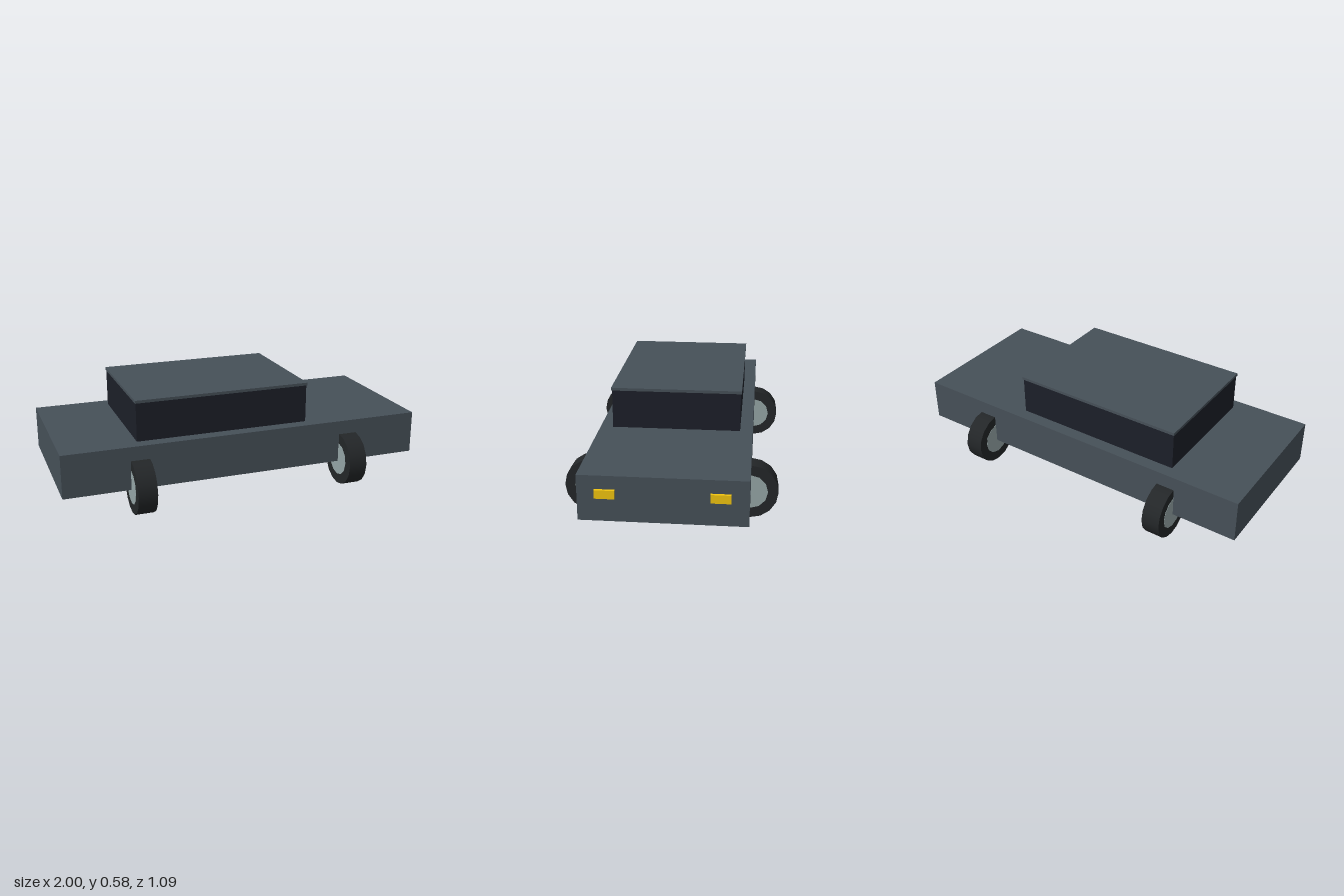
import * as THREE from 'three';

const paint = (color) => new THREE.MeshStandardMaterial({ color });

export function createModel() {
  const model = new THREE.Group();
  const bodyMat = paint(0x465058);
  const glassMat = paint(0x1c1f28);
  const tyreMat = paint(0x232628);
  const hubMat = paint(0x95a5a6);
  const lampMat = paint(0xf1c40f);

  const add = (name, geometry, material, x, y, z) => {
    const mesh = new THREE.Mesh(geometry, material);
    mesh.name = name;
    mesh.position.set(x, y, z);
    model.add(mesh);
    return mesh;
  };

  // Slab body, cabin and thin overhanging roof
  add('body', new THREE.BoxGeometry(1.985, 0.232, 0.81), bodyMat, -0.0075, 0.245, 0);
  add('cabin', new THREE.BoxGeometry(0.946, 0.206, 0.676), glassMat, -0.122, 0.463, 0);
  add('roof', new THREE.BoxGeometry(0.954, 0.015, 0.686), bodyMat, -0.122, 0.5735, 0);

  // Wheels with their axles along x, half sunk into the body sides
  const tyreGeo = new THREE.CylinderGeometry(0.143, 0.143, 0.1, 16).rotateZ(Math.PI / 2);
  const hubGeo = new THREE.CylinderGeometry(0.09, 0.09, 0.103, 12).rotateZ(Math.PI / 2);
  for (const x of [-0.596, 0.578]) {
    for (const z of [-0.402, 0.402]) {
      add('tyre', tyreGeo, tyreMat, x, 0.143, z);
      add('hub', hubGeo, hubMat, x, 0.143, z);
    }
  }

  // Headlights on the +x end
  const lampGeo = new THREE.BoxGeometry(0.03, 0.043, 0.097);
  for (const z of [-0.272, 0.272]) add('headlight', lampGeo, lampMat, 0.985, 0.271, z);

  return model;
}
